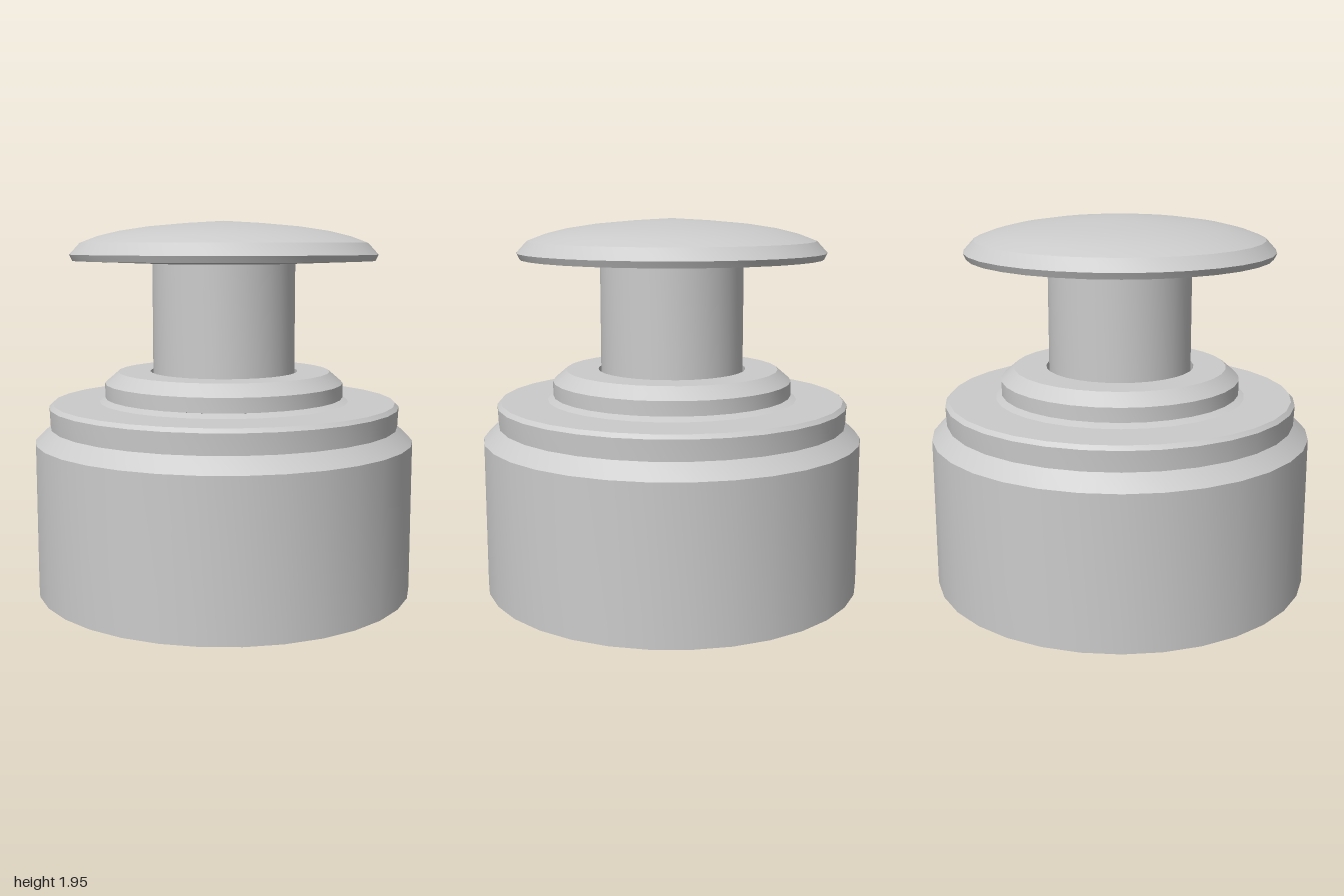
import * as THREE from 'three';
import { toCreasedNormals } from 'three/addons/utils/BufferGeometryUtils.js';

const SIDES = 32;

// Turned part from a [radius, height] profile running bottom to top on the outside
function turned(name, profile, side = THREE.FrontSide) {
  const points = profile.map(([r, y]) => new THREE.Vector2(r, y));
  const geometry = toCreasedNormals(new THREE.LatheGeometry(points, SIDES), 0.4);
  const mesh = new THREE.Mesh(geometry, new THREE.MeshStandardMaterial({ color: 0xcccccc, side }));
  mesh.name = name;
  return mesh;
}

export function createModel() {
  const model = new THREE.Group();
  model.name = 'plungerButton';

  // Thin hollow housing, open at the bottom
  model.add(turned('housing', [
    [1, 0], [1, 0.8], [0.92, 0.875], [0.925, 0.98], [0.905, 1], [0.6, 1],
  ], THREE.DoubleSide));

  // Chamfered collar with a hole for the stem
  model.add(turned('collar', [
    [0.66, 1.003], [0.6, 1.02], [0.63, 1.025], [0.63, 1.1], [0.56, 1.16], [0.39, 1.16], [0.39, 1.1],
  ], THREE.DoubleSide));

  // Plunger stem tapering to a point inside the housing
  model.add(turned('stem', [[0, 0.41], [0.375, 1.1], [0.375, 1.735]]));

  // Domed push cap
  model.add(turned('cap', [
    [0, 1.725], [0.375, 1.725], [0.79, 1.74], [0.805, 1.772], [0.75, 1.832], [0.66, 1.866],
    [0.55, 1.893], [0.4, 1.916], [0.2, 1.934], [0, 1.946],
  ]));

  return model;
}
